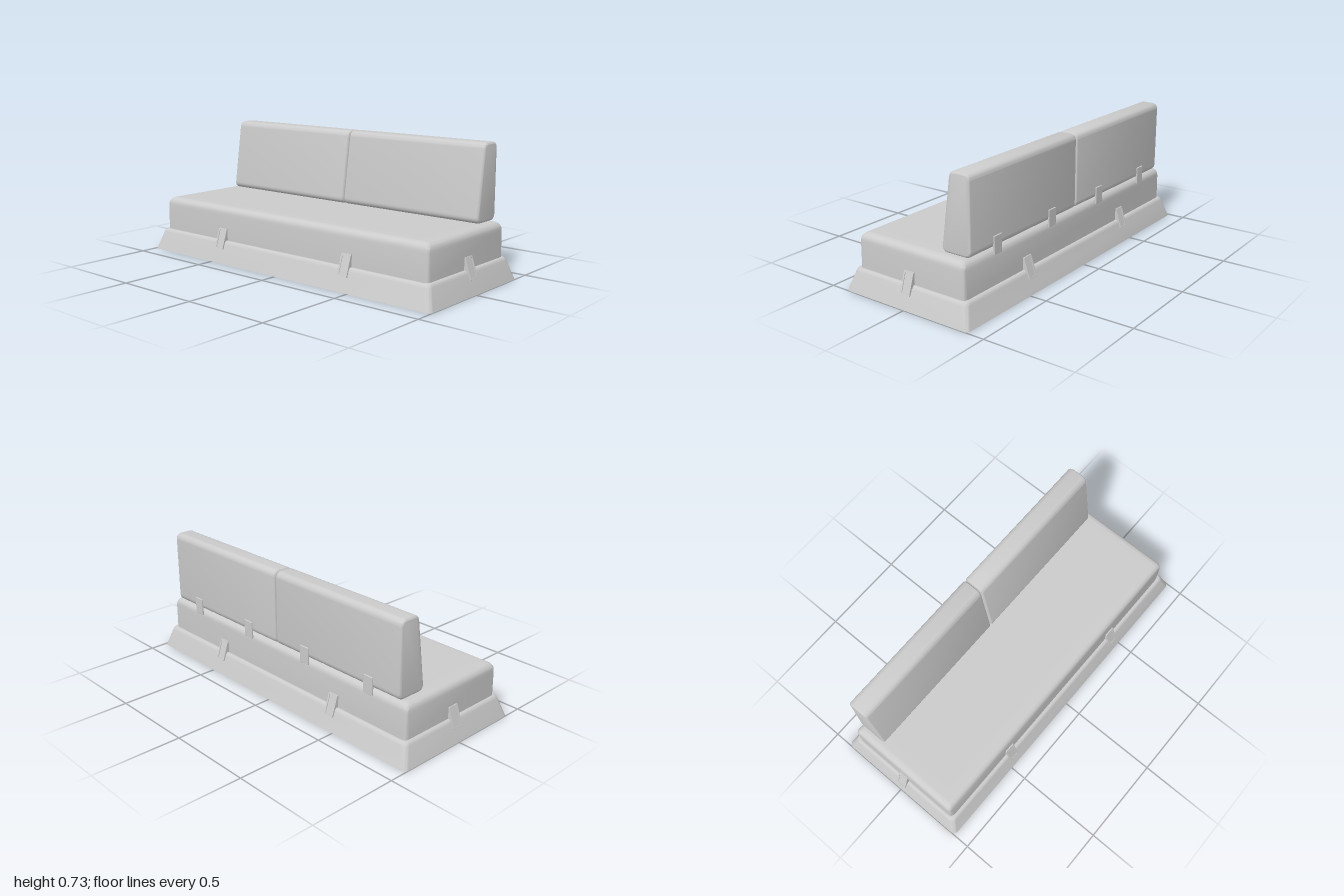
import * as THREE from 'three';
import { toCreasedNormals } from 'three/addons/utils/BufferGeometryUtils.js';
import { RoundedBoxGeometry } from 'three/addons/geometries/RoundedBoxGeometry.js';

const material = new THREE.MeshStandardMaterial({ color: 0xcccccc });

function addMesh(parent, name, geometry) {
  const mesh = new THREE.Mesh(geometry, material);
  mesh.name = name;
  parent.add(mesh);
  return mesh;
}

// Skin a profile of [halfWidth, y] around a rounded rectangle that is longer in z by `extra`
function loftRect(profile, extra, radius) {
  const steps = 6, ring = 4 * (steps + 1), positions = [], index = [];
  for (const [hx, y] of profile) {
    const r = Math.min(radius, hx);
    for (let corner = 0; corner < 4; corner++) {
      const sx = corner === 0 || corner === 3 ? 1 : -1;
      const sz = corner < 2 ? 1 : -1;
      for (let i = 0; i <= steps; i++) {
        const a = (corner + i / steps) * Math.PI / 2;
        positions.push(sx * (hx - r) + r * Math.cos(a), y, sz * (hx + extra - r) + r * Math.sin(a));
      }
    }
  }
  for (let j = 0; j < profile.length - 1; j++) {
    for (let i = 0; i < ring; i++) {
      const a = j * ring + i, b = j * ring + (i + 1) % ring;
      index.push(a, a + ring, b, b, a + ring, b + ring);
    }
  }
  const geometry = new THREE.BufferGeometry();
  geometry.setAttribute('position', new THREE.Float32BufferAttribute(positions, 3));
  geometry.setIndex(index);
  return toCreasedNormals(geometry, 0.6);
}

// Polygon with its corners rounded off
function roundedShape(points, radius) {
  const shape = new THREE.Shape();
  const corners = points.map(p => new THREE.Vector2(...p));
  const n = corners.length;
  corners.forEach((p, i) => {
    const towards = q => p.clone().add(q.clone().sub(p).setLength(radius));
    const start = towards(corners[(i + n - 1) % n]), end = towards(corners[(i + 1) % n]);
    if (i === 0) shape.moveTo(start.x, start.y);
    else shape.lineTo(start.x, start.y);
    shape.quadraticCurveTo(p.x, p.y, end.x, end.y);
  });
  shape.closePath();
  return shape;
}

const rectangle = (w, h) => [[-w / 2, -h / 2], [w / 2, -h / 2], [w / 2, h / 2], [-w / 2, h / 2]];

// Wedge-shaped clasp joining base and seat, facing +x, with a raised rim on its face
function makeClasp(name) {
  const clasp = new THREE.Group();
  clasp.name = name;
  const side = new THREE.Shape([
    [0.343, 0.122], [0.368, 0.108], [0.379, 0.079], [0.385, 0.079], [0.349, 0.19], [0.343, 0.19],
  ].map(p => new THREE.Vector2(...p)));
  const body = new THREE.ExtrudeGeometry(side, { depth: 0.06, bevelEnabled: false });
  addMesh(clasp, 'claspBody', body.translate(0, 0, -0.03));
  const outline = roundedShape(rectangle(0.062, 0.118), 0.004);
  outline.holes.push(roundedShape(rectangle(0.044, 0.1), 0.003));
  const frame = new THREE.ExtrudeGeometry(outline, { depth: 0.005, bevelEnabled: false, curveSegments: 3 });
  const rim = addMesh(clasp, 'claspRim', frame.translate(0, 0, -0.005).rotateY(Math.PI / 2));
  rim.position.set(0.3705, 0.1345, 0);
  rim.rotation.z = Math.atan2(0.036, 0.111);
  return clasp;
}

export function createModel() {
  const model = new THREE.Group();
  model.name = 'sofa';

  // Flared base skirt: a thin open shell around the seat, curling in at the top
  addMesh(model, 'base', loftRect([
    [0.347, 0.119], [0.353, 0.121], [0.359, 0.118], [0.364, 0.112], [0.368, 0.104], [0.4025, 0],
    [0.405, 0], [0.371, 0.105], [0.367, 0.115], [0.361, 0.122], [0.354, 0.125], [0.347, 0.124],
  ], 0.595, 0.028));

  // Seat cushion with straight sides and a rolled top edge, its underside set inside the skirt
  const seat = [[0, 0.056], [0.341, 0.056], [0.345, 0.06], [0.345, 0.14], [0.344, 0.265]];
  for (let i = 0; i <= 8; i++) {
    const a = i / 8 * Math.PI / 2;
    seat.push([0.304 + 0.039 * Math.cos(a), 0.275 + 0.04 * Math.sin(a)]);
  }
  seat.push([0.25, 0.315], [0, 0.315]);
  addMesh(model, 'seatCushion', loftRect(seat, 0.6, 0.02));

  // Two tapered back cushions with softened ends
  const bevel = 0.014;
  const profile = roundedShape([
    [0.179, 0.33], [0.33, 0.33], [0.33, 0.718], [0.235, 0.718],
  ], 0.022);
  for (const s of [-1, 1]) {
    const cushion = new THREE.ExtrudeGeometry(profile, {
      depth: 0.892 - 2 * bevel, bevelThickness: bevel, bevelSize: bevel, bevelSegments: 5, curveSegments: 8,
    });
    cushion.translate(0, 0, -0.446 + bevel);
    addMesh(model, s > 0 ? 'backCushionFront' : 'backCushionRear', toCreasedNormals(cushion, 0.6)).position.z = s * 0.4485;

    // Straps holding each back cushion to the seat
    for (const z of [0.23, 0.69]) {
      const strap = addMesh(model, 'backStrap', new RoundedBoxGeometry(0.011, 0.098, 0.062, 2, 0.003));
      strap.position.set(0.3445, 0.332, s * z);
    }

    // Clasps along both long sides
    for (const z of [-0.453, 0.453]) {
      const clasp = makeClasp('sideClasp');
      clasp.rotation.y = s > 0 ? 0 : Math.PI;
      clasp.position.z = z;
      model.add(clasp);
    }

    // Clasp at each end
    const endClasp = makeClasp('endClasp');
    endClasp.rotation.y = -s * Math.PI / 2;
    endClasp.position.z = s * 0.6;
    model.add(endClasp);
  }
  return model;
}
